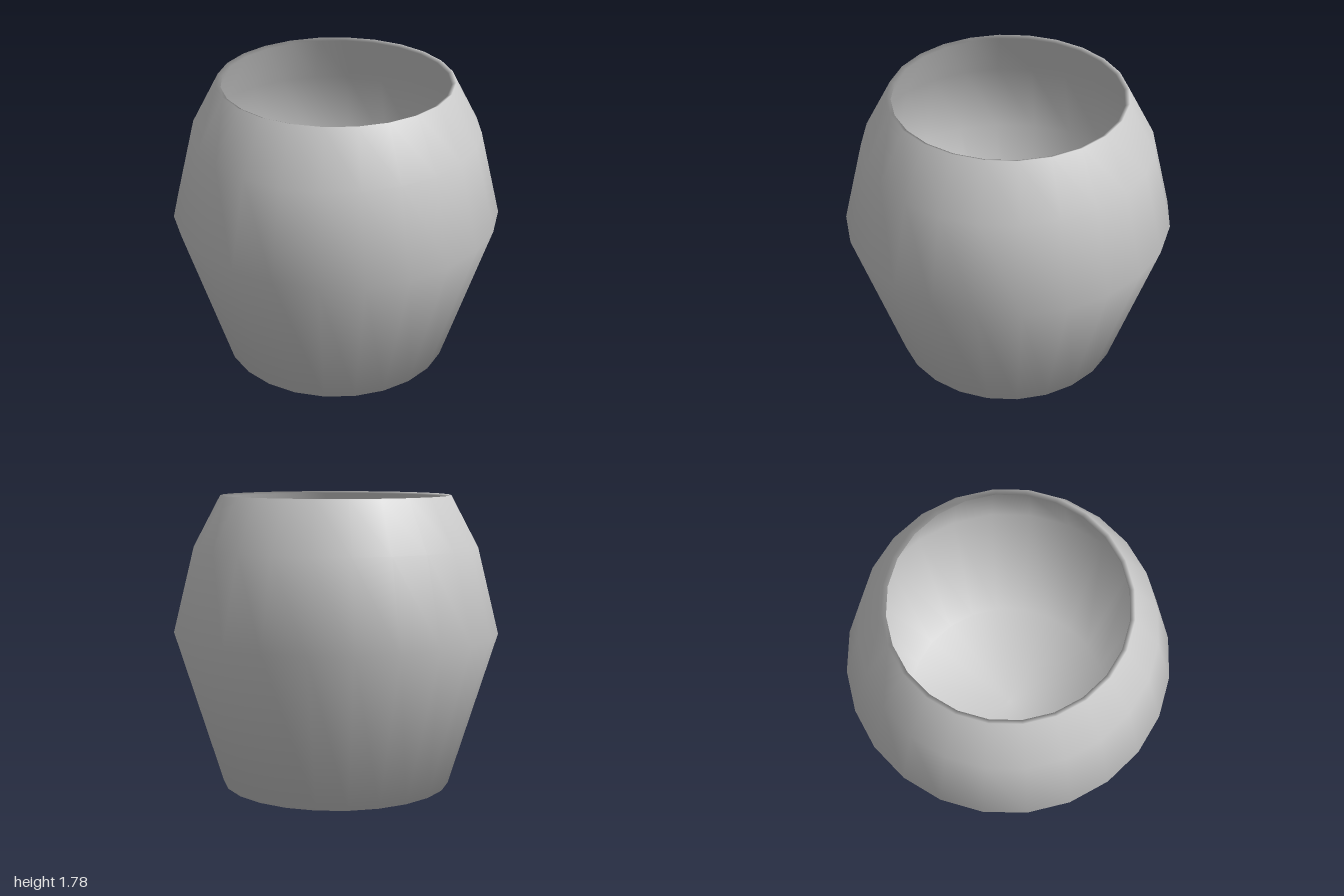
import * as THREE from 'three';

export function createModel() {
  const group = new THREE.Group();
  group.name = 'pot';

  // Closed profile: underside, outer wall, thin rim, inner wall, inner floor
  const profile = [
    [0, 0], [0.707, 0], [1, 0.95], [0.87, 1.475], [0.705, 1.785],
    [0.678, 1.772], [0.843, 1.462], [0.97, 0.95], [0.685, 0.03], [0, 0.03],
  ].map(([r, y]) => new THREE.Vector2(r, y));

  // 24-sided smooth vessel
  const vessel = new THREE.Mesh(
    new THREE.LatheGeometry(profile, 24),
    new THREE.MeshStandardMaterial({ color: 0xcccccc })
  );
  vessel.name = 'vessel';
  group.add(vessel);
  return group;
}
